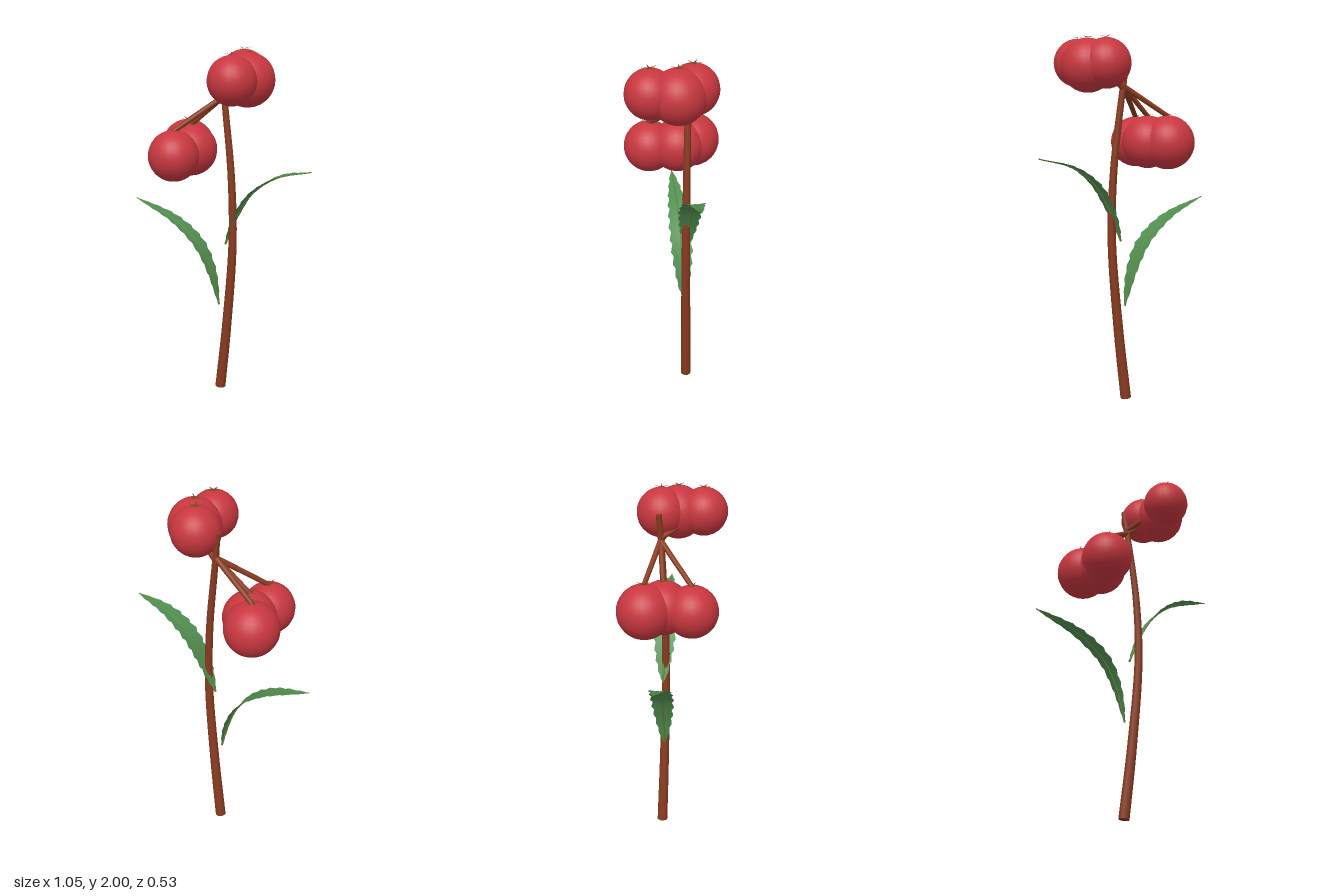
import * as THREE from 'three';

const V = (x, y, z) => new THREE.Vector3(x, y, z);
const mat = (name, color, side = THREE.FrontSide) => {
  const m = new THREE.MeshStandardMaterial({ color, side });
  m.name = name;
  return m;
};

// Tube along a curve whose radius runs from r0 to r1, with closed ends
function branch(name, points, r0, r1, segments, material) {
  const group = new THREE.Group();
  group.name = name;
  const curve = new THREE.CatmullRomCurve3(points);
  const sides = 12;
  const geo = new THREE.TubeGeometry(curve, segments, 1, sides);
  const pos = geo.attributes.position;
  const p = V(0, 0, 0);
  for (let i = 0; i < pos.count; i++) {
    const t = Math.floor(i / (sides + 1)) / segments;
    const c = curve.getPointAt(t);
    p.fromBufferAttribute(pos, i).sub(c).multiplyScalar(r0 + (r1 - r0) * t).add(c);
    pos.setXYZ(i, p.x, p.y, p.z);
  }
  group.add(new THREE.Mesh(geo, material));
  for (const [t, r, dir] of [[0, r0, -1], [1, r1, 1]]) {
    const cap = new THREE.Mesh(new THREE.CircleGeometry(r, sides), material);
    const c = curve.getPointAt(t);
    cap.position.copy(c);
    cap.lookAt(c.clone().addScaledVector(curve.getTangentAt(t), dir));
    group.add(cap);
  }
  group.children.forEach((m) => { m.name = name; });
  return group;
}

// Serrated blade swept along its midrib, slightly folded in the middle
function leaf(name, points, halfWidth, bladeMat, ribMat) {
  const group = new THREE.Group();
  group.name = name;
  const curve = new THREE.CatmullRomCurve3(points);
  const a = points[0], b = points[points.length - 1];
  const across = V(-(b.z - a.z), 0, b.x - a.x).normalize();
  const n = 36, verts = [], index = [];
  for (let i = 0; i <= n; i++) {
    const t = i / n;
    const c = curve.getPointAt(t);
    const tooth = [1, 0.9, 0.8][i % 3];
    const w = halfWidth * Math.pow(Math.sin(Math.PI * Math.pow(t, 0.9)), 0.75) * tooth || 0;
    const up = curve.getTangentAt(t).cross(across).normalize();
    if (up.y < 0) up.negate();
    for (const s of [-1, 0, 1]) {
      const q = c.clone().addScaledVector(across, s * w).addScaledVector(up, Math.abs(s) * w * 0.12);
      verts.push(q.x, q.y, q.z);
    }
    if (i < n) {
      for (const k of [0, 1]) {
        const j = i * 3 + k;
        index.push(j, j + 1, j + 3, j + 1, j + 4, j + 3);
      }
    }
  }
  // Keep the front faces on the upper side
  if (b.x > a.x) index.reverse();
  const geo = new THREE.BufferGeometry();
  geo.setAttribute('position', new THREE.Float32BufferAttribute(verts, 3));
  geo.setIndex(index);
  geo.computeVertexNormals();
  const blade = new THREE.Mesh(geo, bladeMat);
  blade.name = name + 'Blade';
  group.add(blade, branch(name + 'Midrib', points, 0.006, 0.003, 24, ribMat));
  return group;
}

// Five thin pointed sepals as a shallow star
function sepalGeometry() {
  const shape = new THREE.Shape();
  for (let i = 0; i < 10; i++) {
    const r = i % 2 ? 0.01 : 0.046;
    const ang = (i / 10) * Math.PI * 2 + (i % 2 ? 0.15 : 0);
    shape[i ? 'lineTo' : 'moveTo'](Math.cos(ang) * r, Math.sin(ang) * r);
  }
  shape.closePath();
  const geo = new THREE.ShapeGeometry(shape).rotateX(-Math.PI / 2);
  const pos = geo.attributes.position;
  for (let i = 0; i < pos.count; i++) {
    pos.setY(i, 0.18 * Math.hypot(pos.getX(i), pos.getZ(i)));
  }
  geo.computeVertexNormals();
  return geo;
}

export function createModel() {
  const model = new THREE.Group();
  model.name = 'berryBranch';
  const berryRed = mat('berryRed', 0xc8373f);
  const barkBrown = mat('barkBrown', 0x8a3b20);
  const leafGreen = mat('leafGreen', 0x4f8f50, THREE.DoubleSide);
  const ribOlive = mat('ribOlive', 0x64803a);
  const sepalBrown = mat('sepalBrown', 0x6e4a20, THREE.DoubleSide);

  // Main stem
  model.add(branch('stem', [
    V(0, 0.003, -0.1), V(0.044, 0.4, -0.1), V(0.083, 0.92, -0.1),
    V(0.07, 1.3, -0.1), V(0.022, 1.7, -0.1), V(-0.003, 1.88, -0.105),
  ], 0.03, 0.016, 32, barkBrown));

  // Berries: x, y, z, radius
  const clusters = {
    lower: [[-0.245, 1.43, -0.105, 0.147], [-0.158, 1.43, -0.03, 0.144], [-0.15, 1.422, 0.124, 0.14]],
    upper: [[0.125, 1.857, -0.133, 0.133], [0.203, 1.845, -0.065, 0.143], [0.21, 1.857, 0.076, 0.129]],
  };
  const sphere = new THREE.SphereGeometry(1, 24, 18);
  const star = sepalGeometry();
  for (const [name, berries] of Object.entries(clusters)) {
    const cluster = new THREE.Group();
    cluster.name = name + 'Cluster';
    berries.forEach(([x, y, z, r], i) => {
      const berry = new THREE.Mesh(sphere, berryRed);
      berry.name = 'berry';
      berry.position.set(x, y, z);
      berry.scale.setScalar(r);
      const sepals = new THREE.Mesh(star, sepalBrown);
      sepals.name = 'sepals';
      sepals.position.set(x, y + r + 0.001, z);
      sepals.rotation.y = 0.3 + i * 0.4;
      // Lower stalks meet the berry tops, upper ones enter from beneath
      const stalk = name === 'lower'
        ? [V(0.015, 1.735, -0.102), V(x, y + r - 0.005, z)]
        : [V(0.012, 1.71 + i * 0.02, -0.1), V(x, y, z)];
      cluster.add(berry, sepals, branch('stalk', stalk, 0.015, 0.013, 4, barkBrown));
    });
    model.add(cluster);
  }

  // Leaves, following x and y with z drifting along the blade
  const path = (pts, z0, slope) => pts.map(([x, y]) => V(x, y, z0 + slope * x));
  model.add(leaf('leftLeaf', path(
    [[0.03, 0.9], [0.105, 1.08], [0.195, 1.22], [0.33, 1.32], [0.52, 1.375]], -0.094, -0.218),
  0.068, leafGreen, ribOlive));
  model.add(leaf('rightLeaf', path(
    [[0, 0.53], [-0.05, 0.72], [-0.13, 0.875], [-0.28, 1.0], [-0.525, 1.1]], -0.084, -0.23),
  0.068, leafGreen, ribOlive));

  return model;
}
